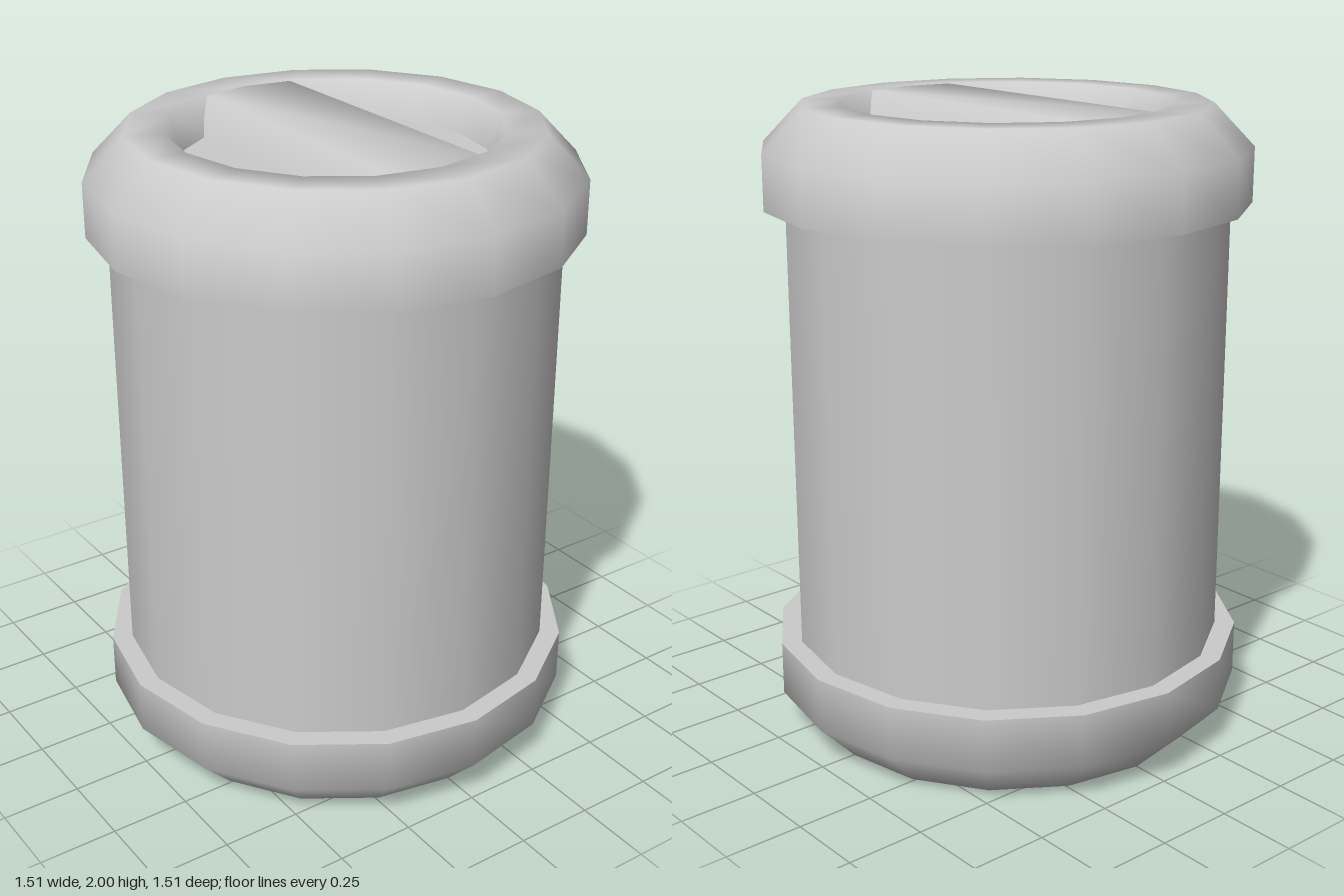
import * as THREE from 'three';
import { toCreasedNormals } from 'three/addons/utils/BufferGeometryUtils.js';

const SIDES = 16;
const BODY_R = 0.69;
const CAP_R = 0.755;
const material = new THREE.MeshStandardMaterial({ color: 0xcccccc });

function addMesh(parent, name, geometry) {
  const mesh = new THREE.Mesh(geometry, material);
  mesh.name = name;
  parent.add(mesh);
  return mesh;
}

function lathe(points) {
  return new THREE.LatheGeometry(points.map(([r, y]) => new THREE.Vector2(r, y)), SIDES);
}

// Upper cap, with y measured from the middle of the canister
function createCap(name) {
  const cap = new THREE.Group();
  cap.name = name;

  // Smooth rim: outer wall, chamfer, flat crest, inner wall of the recess
  addMesh(cap, 'rim', lathe([[CAP_R, 0.7], [CAP_R, 0.87], [0.63, 1], [0.51, 1], [0.47, 0.89]]));

  // Flat ledge between the rim and the body
  addMesh(cap, 'ledge', lathe([[BODY_R - 0.01, 0.7], [CAP_R, 0.7]]));

  // Recess floor
  const floor = new THREE.CircleGeometry(0.47, SIDES).rotateX(-Math.PI / 2);
  addMesh(cap, 'recessFloor', floor).position.y = 0.89;

  // Grip bar across the recess, tapering towards its top
  const section = new THREE.Shape([
    new THREE.Vector2(-0.21, 0.885),
    new THREE.Vector2(0.21, 0.885),
    new THREE.Vector2(0.155, 0.999),
    new THREE.Vector2(-0.155, 0.999),
  ]);
  const bar = new THREE.ExtrudeGeometry(section, { depth: 1.02, bevelEnabled: false });
  bar.translate(0, 0, -0.51);
  addMesh(cap, 'gripBar', toCreasedNormals(bar, 1.3));
  return cap;
}

export function createModel() {
  const model = new THREE.Group();
  model.name = 'canister';

  // Cylindrical body
  const body = new THREE.CylinderGeometry(BODY_R, BODY_R, 1.42, SIDES, 1, true);
  addMesh(model, 'body', body).position.y = 1;

  // Matching caps, the lower one turned over
  const topCap = createCap('topCap');
  const bottomCap = createCap('bottomCap');
  bottomCap.rotation.x = Math.PI;
  for (const cap of [topCap, bottomCap]) {
    cap.position.y = 1;
    model.add(cap);
  }
  return model;
}
